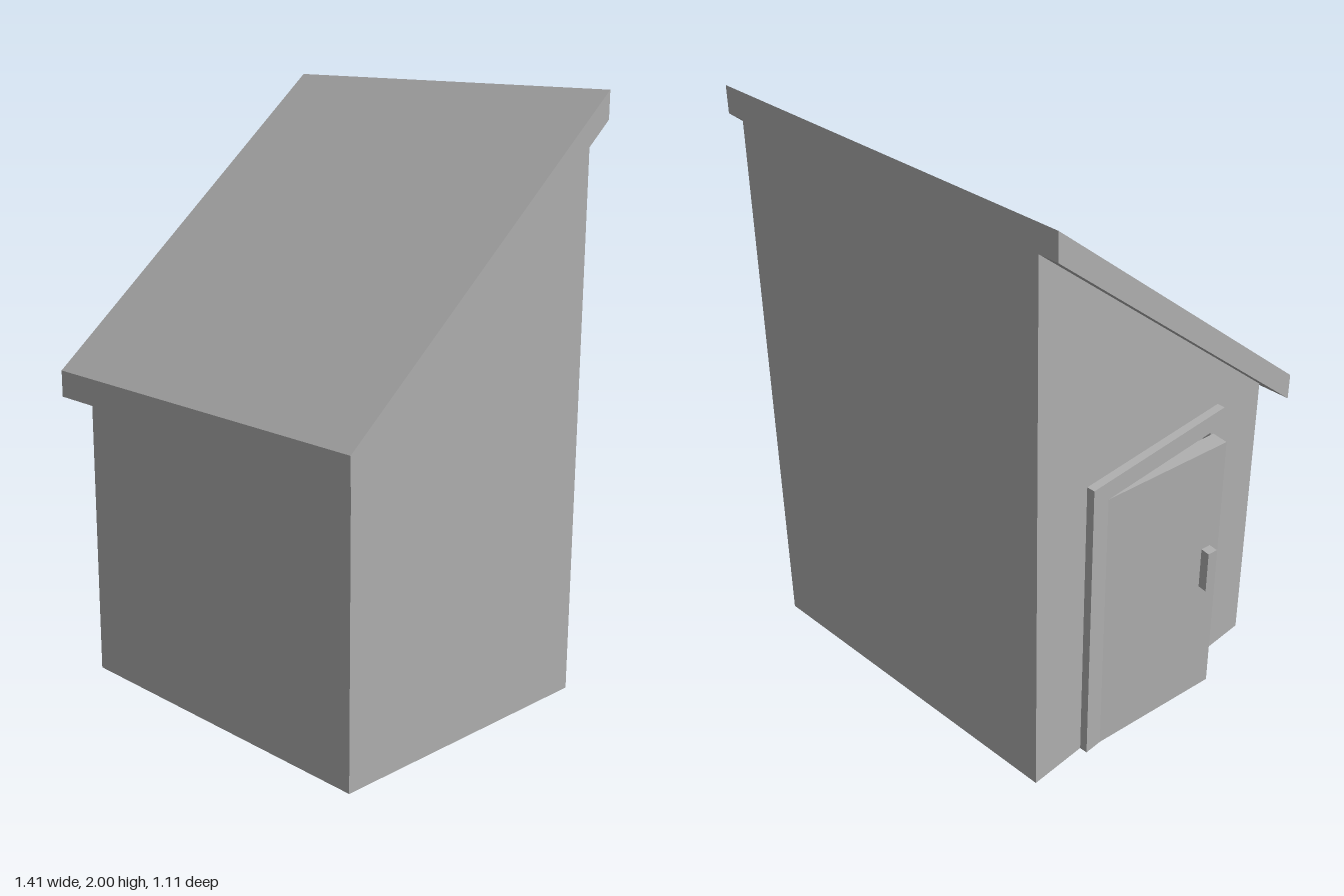
import * as THREE from 'three';

const grey = new THREE.MeshStandardMaterial({ color: 0xb0b0b0, side: THREE.DoubleSide });
grey.name = 'plain grey';

function add(parent, name, geometry, x = 0, y = 0, z = 0) {
  const mesh = new THREE.Mesh(geometry, grey);
  mesh.name = name;
  mesh.position.set(x, y, z);
  parent.add(mesh);
  return mesh;
}

// Box given by its lower and upper corners
function box(parent, name, [x0, y0, z0], [x1, y1, z1]) {
  return add(parent, name, new THREE.BoxGeometry(x1 - x0, y1 - y0, z1 - z0),
    (x0 + x1) / 2, (y0 + y1) / 2, (z0 + z1) / 2);
}

// Shape drawn in (z, y)
const profile = (points) => new THREE.Shape(points.map(([z, y]) => new THREE.Vector2(z, y)));

export function createModel() {
  const model = new THREE.Group();
  model.name = 'shed';

  const left = 0.637, right = -0.587, front = 0.485, back = -0.555;
  const frontTop = 1.04, backTop = 1.91;
  const midX = (left + right) / 2, width = left - right;

  // Thin walls, open underneath
  const walls = new THREE.Group();
  walls.name = 'walls';
  model.add(walls);
  add(walls, 'frontWall', new THREE.PlaneGeometry(width, frontTop), midX, frontTop / 2, front);
  add(walls, 'backWall', new THREE.PlaneGeometry(width, backTop).rotateY(Math.PI), midX, backTop / 2, back);
  const side = profile([[back, 0], [front, 0], [front, frontTop], [back, backTop]]);
  for (const [name, x] of [['leftWall', left], ['rightWall', right]]) {
    add(walls, name, new THREE.ShapeGeometry(side).rotateY(-Math.PI / 2), x);
  }

  // Sloping roof slab with upright edges
  const roofLeft = 0.705, roofRight = -0.655;
  const slab = profile([[0.555, 0.98], [0.555, 1.07], [back, 2], [back, backTop]]);
  const roof = new THREE.ExtrudeGeometry(slab, { depth: roofLeft - roofRight, bevelEnabled: false });
  add(model, 'roof', roof.rotateY(-Math.PI / 2), roofLeft);

  // Door frame set through the right wall
  const frame = new THREE.Group();
  frame.name = 'doorFrame';
  model.add(frame);
  const outer = -0.615, inner = -0.557, hinge = -0.28, latch = 0.2, head = 1, trim = 0.065;
  box(frame, 'backJamb', [outer, 0, hinge - trim], [inner, head, hinge]);
  box(frame, 'frontJamb', [outer, 0, latch], [inner, head, latch + trim]);
  box(frame, 'header', [outer, head, hinge - trim], [inner, head + trim, latch + trim]);

  // Door standing slightly ajar, with its handle
  const door = new THREE.Group();
  door.name = 'door';
  door.position.set(outer, 0, hinge);
  door.rotation.y = -0.14;
  model.add(door);
  box(door, 'doorPanel', [0, 0, 0], [0.058, head, latch - hinge]);
  box(door, 'doorHandle', [-0.033, 0.455, 0.407], [0, 0.61, 0.443]);

  return model;
}
